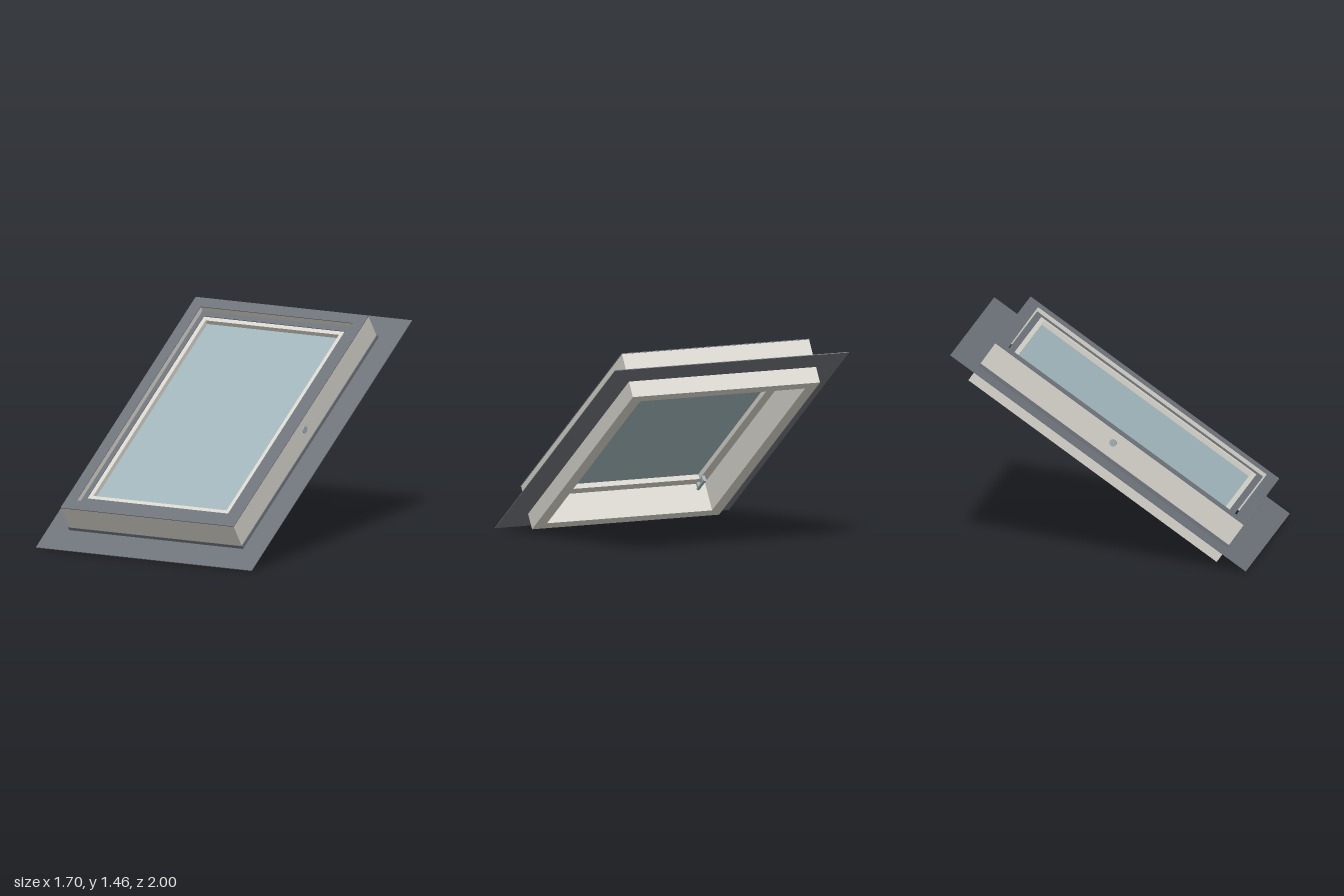
import * as THREE from 'three';

export function createModel() {
  const mat = (name, color) => {
    const m = new THREE.MeshStandardMaterial({ color });
    m.name = name;
    return m;
  };
  const slate = mat('slate grey metal', 0x6e737a);
  const cream = mat('pale frame', 0xd6d4cc);
  const pane = mat('blue grey glass', 0x9fb4ba);
  const steel = mat('steel fittings', 0x9caeb3);

  // Everything is built flat (y = roof normal, z = down the slope), then tilted
  const model = new THREE.Group();
  model.name = 'roofWindow';
  const tilt = new THREE.Group();
  tilt.name = 'tiltedWindow';
  tilt.rotation.x = THREE.MathUtils.degToRad(35);
  tilt.position.y = 0.7;
  model.add(tilt);

  const add = (name, geometry, material, x = 0, y = 0, z = 0) => {
    const mesh = new THREE.Mesh(geometry, material);
    mesh.name = name;
    mesh.position.set(x, y, z);
    tilt.add(mesh);
    return mesh;
  };

  // Rectangular ring from outer and inner half sizes, between two heights
  const ring = (name, material, [ox, oz], [ix, iz], y0, y1) => {
    const rect = (Type, w, h) => {
      const p = new Type();
      p.moveTo(-w, -h);
      p.lineTo(w, -h);
      p.lineTo(w, h);
      p.lineTo(-w, h);
      p.closePath();
      return p;
    };
    const shape = rect(THREE.Shape, ox, oz);
    shape.holes.push(rect(THREE.Path, ix, iz));
    const g = new THREE.ExtrudeGeometry(shape, { depth: y1 - y0, bevelEnabled: false });
    g.rotateX(-Math.PI / 2);
    return add(name, g, material, 0, y0, 0);
  };

  // Fixed frame, its cover and the roof flashing
  ring('frame', cream, [0.68, 1.025], [0.6, 0.945], -0.115, 0.203);
  ring('frameCover', slate, [0.682, 1.027], [0.599, 0.944], 0.203, 0.208);
  ring('flashing', slate, [0.85, 1.22], [0.68, 1.025], 0, 0.005);
  ring('flashingCollar', slate, [0.686, 1.031], [0.679, 1.024], 0, 0.03);

  // Opening sash with trim and glass
  ring('sash', cream, [0.588, 0.93], [0.525, 0.855], 0.08, 0.174);
  ring('sashTrim', slate, [0.59, 0.932], [0.556, 0.888], 0.174, 0.179);
  add('glass', new THREE.BoxGeometry(1.06, 0.026, 1.72), pane, 0, 0.128, 0);

  // Pivots through both side walls
  for (const side of [-1, 1]) {
    const g = new THREE.CylinderGeometry(0.025, 0.025, 0.11, 20);
    g.rotateZ(Math.PI / 2);
    add('pivot', g, steel, side * 0.632, 0.129, 0);
  }

  // Handle on the inside of the sash, near the lower corner
  const bar = new THREE.CylinderGeometry(0.011, 0.011, 0.14, 14);
  bar.rotateX(Math.PI / 2);
  add('handleBar', bar, steel, -0.535, 0.045, 0.865);
  for (const z of [0.815, 0.915]) {
    add('handlePost', new THREE.BoxGeometry(0.022, 0.045, 0.022), steel, -0.535, 0.062, z);
  }

  return model;
}
